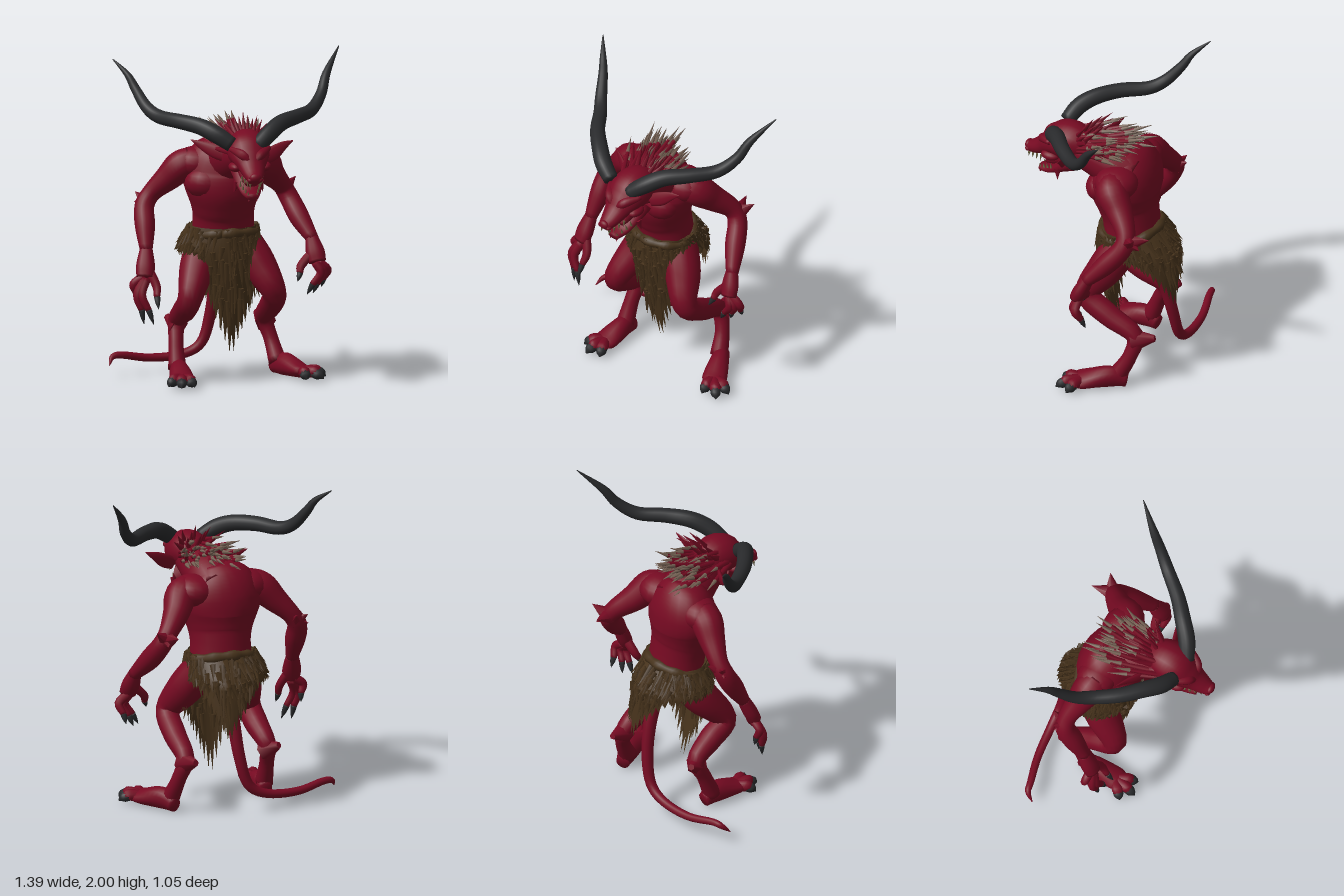
import * as THREE from 'three';
import { mergeGeometries } from 'three/addons/utils/BufferGeometryUtils.js';

const V = (p) => new THREE.Vector3(p[0], p[1], p[2]);
const mat = (name, color) => Object.assign(new THREE.MeshStandardMaterial({ color }), { name });

// Smooth limb through points [x, y, z, radius, secondRadius]
function limb(pts, sides = 14, steps = 5) {
  const path = new THREE.CatmullRomCurve3(pts.map(V), false, 'catmullrom');
  const size = new THREE.CatmullRomCurve3(pts.map((p) => V([p[3], p[4] ?? p[3], 0])), false, 'catmullrom');
  const n = (pts.length - 1) * steps, pos = [], idx = [];
  const N = new THREE.Vector3(1, 0, 0), B = new THREE.Vector3();
  if (Math.abs(path.getTangent(0).x) > 0.8) N.set(0, 0, 1);
  for (let k = -1; k <= n + 1; k++) {
    const t = Math.min(Math.max(k / n, 0), 1);
    const c = path.getPoint(t), T = path.getTangent(t), r = size.getPoint(t);
    N.addScaledVector(T, -N.dot(T)).normalize();
    B.crossVectors(T, N);
    const f = k < 0 || k > n ? 0 : 1; // closed ends
    for (let j = 0; j < sides; j++) {
      const a = (j / sides) * Math.PI * 2;
      const u = Math.cos(a) * Math.max(r.x, 0.001) * f, v = Math.sin(a) * Math.max(r.y, 0.001) * f;
      pos.push(c.x + N.x * u + B.x * v, c.y + N.y * u + B.y * v, c.z + N.z * u + B.z * v);
    }
  }
  for (let k = 0; k < n + 2; k++) for (let j = 0; j < sides; j++) {
    const a = k * sides + j, b = k * sides + ((j + 1) % sides);
    idx.push(a, b, a + sides, b, b + sides, a + sides);
  }
  const g = new THREE.BufferGeometry();
  g.setAttribute('position', new THREE.Float32BufferAttribute(pos, 3));
  g.setIndex(idx);
  g.computeVertexNormals();
  return g;
}

// Straight taper from p to q
function spike(p, q, r, rEnd = 0, sides = 6) {
  const a = V(p), d = V(q).sub(a), len = d.length();
  const g = new THREE.CylinderGeometry(rEnd, r, len, sides);
  g.translate(0, len / 2, 0);
  g.applyQuaternion(new THREE.Quaternion().setFromUnitVectors(new THREE.Vector3(0, 1, 0), d.normalize()));
  return g.translate(a.x, a.y, a.z);
}

function blob(p, s) {
  return new THREE.SphereGeometry(1, 16, 12).scale(s[0], s[1], s[2]).translate(p[0], p[1], p[2]);
}

const mix = (p, q, t) => [0, 1, 2].map((i) => p[i] + (q[i] - p[i]) * t);

export function createModel() {
  const model = new THREE.Group();
  model.name = 'hornedDemon';
  const skin = mat('crimson skin', 0x760a22);
  const horn = mat('charcoal horn', 0x292a2c);
  const hide = mat('brown hide', 0x46321b);
  const bristle = mat('taupe bristle', 0x7a6557);
  const tooth = mat('dull ivory', 0x6b6040);
  hide.side = THREE.DoubleSide;
  let seed = 11;
  const rnd = () => (seed = (seed * 16807) % 2147483647) / 2147483647;
  // Merges the pieces of one part, keeping only positions and normals
  const add = (name, geos, material, parent = model) => {
    const list = [geos].flat();
    list.forEach((g) => g.deleteAttribute('uv'));
    const m = new THREE.Mesh(mergeGeometries(list), material);
    m.name = name;
    parent.add(m);
  };

  // Torso and neck
  add('torso', limb([[0, 0.74, -0.16, 0.13, 0.13], [0, 0.88, -0.14, 0.185, 0.16], [0, 1.02, -0.12, 0.185, 0.165],
    [0, 1.1, -0.1, 0.2, 0.18], [0, 1.2, -0.085, 0.235, 0.2], [0, 1.3, -0.09, 0.25, 0.19], [0.01, 1.4, -0.08, 0.21, 0.16], [0.03, 1.48, -0.06, 0.11, 0.1]], 24), skin);
  add('neck', limb([[0.01, 1.33, -0.14, 0.15], [0.05, 1.39, -0.02, 0.155], [0.1, 1.43, 0.1, 0.13, 0.135], [0.15, 1.45, 0.22, 0.1]], 18), skin);
  add('chestAndShoulders', [blob([-0.1, 1.24, 0.005], [0.13, 0.1, 0.105]), blob([0.11, 1.24, -0.005], [0.13, 0.1, 0.105]),
    blob([-0.16, 1.35, -0.07], [0.14, 0.1, 0.12]), blob([0.17, 1.35, -0.15], [0.14, 0.1, 0.13])], skin);

  // Head, turned slightly to its left
  const head = new THREE.Group();
  head.name = 'head';
  head.position.set(0.15, 1.45, 0.2);
  head.rotation.y = 0.2;
  model.add(head);
  add('skull', limb([[0, 0.03, -0.1, 0.08, 0.08], [0, 0.045, 0, 0.12, 0.115], [0, 0.03, 0.08, 0.128, 0.115], [0, 0, 0.14, 0.112, 0.085],
    [0, -0.045, 0.2, 0.08, 0.06], [0, -0.08, 0.26, 0.06, 0.045], [0, -0.1, 0.315, 0.04, 0.032]], 18), skin, head);
  add('lowerJaw', limb([[0, -0.09, 0.0, 0.1, 0.07], [0, -0.16, 0.09, 0.08, 0.04], [0, -0.205, 0.16, 0.06, 0.027], [0, -0.222, 0.23, 0.036, 0.022]], 14), skin, head);
  add('mouthInside', limb([[0, -0.08, 0.06, 0.07, 0.07], [0, -0.12, 0.13, 0.055, 0.045], [0, -0.15, 0.18, 0.04, 0.02]], 10), skin, head);
  const face = [blob([0, -0.085, 0.315], [0.035, 0.028, 0.022])], teeth = [], chin = [];
  for (const s of [-1, 1]) {
    face.push(limb([[s * 0.02, 0.0, 0.21, 0.02], [s * 0.06, 0.035, 0.185, 0.03], [s * 0.12, 0.06, 0.11, 0.015]], 8),
      blob([s * 0.09, -0.05, 0.12], [0.04, 0.03, 0.06]), blob([s * 0.03, -0.1, 0.305], [0.018, 0.016, 0.02]));
    for (let i = 0; i < 4; i++) {
      const z = 0.2 + i * 0.033, x = s * (0.062 - i * 0.011);
      teeth.push(spike([x, -0.095 - i * 0.01, z], [x, -0.142 - i * 0.006, z + 0.005], 0.008));
      const zl = 0.13 + i * 0.03, xl = s * (0.06 - i * 0.011);
      teeth.push(spike([xl, -0.17 - i * 0.014, zl], [xl, -0.13 - i * 0.018, zl + 0.01], 0.008));
    }
    chin.push(spike([s * 0.07, -0.15, 0.08], [s * 0.09, -0.22, 0.07], 0.025), spike([s * 0.02, -0.22, 0.21], [s * 0.025, -0.25, 0.23], 0.015));
  }
  add('brow', face, skin, head);
  add('teeth', teeth, tooth, head);
  add('chinSpikes', chin, skin, head);

  // Ears
  add('rightEar', limb([[0.05, 1.43, 0.18, 0.015, 0.04], [-0.04, 1.46, 0.15, 0.015, 0.045], [-0.12, 1.49, 0.12, 0.01, 0.028], [-0.19, 1.52, 0.1, 0.002]], 10), skin);
  add('leftEar', limb([[0.25, 1.42, 0.18, 0.015, 0.04], [0.31, 1.45, 0.15, 0.015, 0.045], [0.37, 1.49, 0.12, 0.01, 0.028], [0.43, 1.52, 0.1, 0.002]], 10), skin);

  // Horns
  add('leftHorn', limb([[0.215, 1.52, 0.315, 0.046], [0.29, 1.59, 0.25, 0.052], [0.36, 1.64, 0.16, 0.05], [0.45, 1.655, 0.04, 0.045],
    [0.535, 1.67, -0.11, 0.04], [0.59, 1.75, -0.22, 0.033], [0.62, 1.86, -0.3, 0.025], [0.69, 2.0, -0.44, 0.003]]), horn);
  add('rightHorn', limb([[0.065, 1.535, 0.335, 0.046], [-0.03, 1.595, 0.32, 0.052], [-0.13, 1.635, 0.27, 0.05], [-0.26, 1.65, 0.185, 0.046],
    [-0.38, 1.655, 0.07, 0.042], [-0.46, 1.7, 0, 0.037], [-0.53, 1.8, -0.07, 0.029], [-0.58, 1.88, -0.11, 0.02], [-0.67, 1.96, -0.18, 0.003]]), horn);

  // Bristly mane swept back from the crown
  const roots = [], tips = [];
  for (let i = 0; i < 80; i++) {
    const u = rnd(), s = rnd() * 2 - 1, lift = rnd();
    const p = [0.15 - 0.07 * u + s * 0.1, 1.54 - 0.02 * u - 0.07 * s * s, 0.27 - 0.25 * u];
    const q = [0.03 + s * 0.19, 1.5 + 0.15 * lift - 0.03 * s * s, 0.04 - 0.22 * u - 0.09 * rnd()];
    const m = mix(p, q, 0.64);
    roots.push(spike(p, m, 0.018, 0.012, 5));
    tips.push(spike(m, q, 0.013, 0, 5));
  }
  for (let i = 0; i < 12; i++) {
    const a = (i / 11) * 2 - 1, p = [0.13 + a * 0.08, 1.54, 0.17 - 0.03 * (i % 3)];
    roots.push(spike(p, [p[0] - 0.02 + a * 0.08, 1.7 - 0.05 * Math.abs(a) - 0.02 * (i % 3), p[2] - 0.1], 0.022, 0, 5));
  }
  add('mane', roots, skin);
  add('maneTips', tips, bristle);

  // Arms
  const arms = {
    right: {
      path: [[-0.18, 1.36, -0.06, 0.09], [-0.255, 1.325, -0.06, 0.098], [-0.335, 1.25, -0.07, 0.08], [-0.43, 1.16, -0.08, 0.058],
        [-0.475, 1.08, -0.06, 0.06], [-0.47, 0.97, 0, 0.062], [-0.46, 0.83, 0.08, 0.038]],
      elbow: [-0.46, 1.1, -0.07], points: [[-0.535, 1.16, -0.11], [-0.46, 1.17, -0.17], [-0.54, 1.1, -0.1]],
      palm: [[-0.46, 0.85, 0.07], [-0.465, 0.68, 0.15]],
      fingers: [[-0.52, 0.53, 0.12], [-0.47, 0.4, 0.2], [-0.41, 0.4, 0.21], [-0.38, 0.5, 0.24]], out: [-0.055, 0.02, 0.02],
    },
    left: {
      path: [[0.18, 1.36, -0.14, 0.09], [0.245, 1.33, -0.18, 0.1], [0.285, 1.25, -0.27, 0.082], [0.345, 1.16, -0.37, 0.06],
        [0.39, 1.08, -0.38, 0.06], [0.455, 0.97, -0.31, 0.062], [0.54, 0.85, -0.22, 0.038]],
      elbow: [0.36, 1.12, -0.4], points: [[0.43, 1.19, -0.48], [0.3, 1.16, -0.52], [0.36, 1.1, -0.49]],
      palm: [[0.53, 0.87, -0.23], [0.57, 0.72, -0.17]],
      fingers: [[0.59, 0.55, -0.26], [0.54, 0.52, -0.21], [0.505, 0.52, -0.16], [0.45, 0.61, -0.11]], out: [0.065, 0.02, 0.01],
    },
  };
  for (const [side, a] of Object.entries(arms)) {
    add(side + 'Arm', limb(a.path, 16), skin);
    add(side + 'ElbowSpikes', a.points.map((p) => spike(a.elbow, p, 0.055)), skin);
    const [w, k] = a.palm, digits = [], claws = [];
    digits.push(limb([[...w, 0.037], [...mix(w, k, 0.6), 0.057, 0.045], [...k, 0.052, 0.04]], 12));
    a.fingers.forEach((tip, i) => {
      const root = mix(mix(w, k, i === 3 ? 0.5 : 0.88), tip, 0.1);
      const mid = mix(root, tip, 0.4).map((c, j) => c + a.out[j] * (i === 3 ? -0.5 : 0.8));
      const end = mix(root, tip, 0.7).map((c, j) => c + a.out[j] * (i === 3 ? -0.2 : 0.3));
      digits.push(limb([[...root, 0.029], [...mid, 0.026], [...end, 0.019]], 8));
      claws.push(limb([[...end, 0.02], [...mix(end, tip, 0.5), 0.014], [...tip, 0.001]], 7));
    });
    add(side + 'Hand', digits, skin);
    add(side + 'HandClaws', claws, horn);
  }

  // Legs
  const legs = {
    right: {
      path: [[-0.09, 0.88, -0.15, 0.11], [-0.15, 0.72, -0.05, 0.11], [-0.195, 0.54, 0.09, 0.075], [-0.23, 0.45, -0.02, 0.072],
        [-0.28, 0.36, -0.15, 0.055], [-0.285, 0.23, -0.1, 0.045], [-0.275, 0.08, -0.04, 0.056]],
      hock: [[-0.27, 0.32, -0.14], [-0.345, 0.37, -0.22]],
      foot: [[-0.28, 0.05, -0.1], [-0.24, 0.055, 0.13]], toes: [[-0.32, 0.04, 0.24], [-0.24, 0.04, 0.29], [-0.16, 0.04, 0.25]],
    },
    left: {
      path: [[0.1, 0.88, -0.16, 0.11], [0.21, 0.72, -0.1, 0.11], [0.31, 0.56, -0.04, 0.075], [0.285, 0.45, -0.18, 0.07],
        [0.24, 0.35, -0.35, 0.055], [0.28, 0.22, -0.35, 0.045], [0.325, 0.08, -0.29, 0.056]],
      hock: [[0.25, 0.32, -0.35], [0.19, 0.355, -0.47]],
      foot: [[0.3, 0.05, -0.34], [0.47, 0.055, -0.14]], toes: [[0.62, 0.04, -0.13], [0.61, 0.04, -0.04], [0.51, 0.04, -0.01]],
    },
  };
  for (const [side, l] of Object.entries(legs)) {
    add(side + 'Leg', limb(l.path, 16), skin);
    add(side + 'HockSpike', spike(l.hock[0], l.hock[1], 0.07, 0.02), skin);
    const [h, b] = l.foot, soles = [], claws = [];
    const instep = mix(h, b, 0.4);
    soles.push(limb([[...h, 0.04, 0.045], [instep[0], 0.075, instep[2], 0.058, 0.07], [...b, 0.075, 0.043], [...mix(h, b, 1.2), 0.06, 0.03]], 14));
    for (const tip of l.toes) {
      const root = mix(b, tip, 0.1), end = mix(b, tip, 0.6);
      soles.push(limb([[...root, 0.035], [end[0], 0.06, end[2], 0.036], [...mix(b, tip, 0.68), 0.026]], 9));
      claws.push(limb([[end[0], 0.055, end[2], 0.034], [...mix(b, tip, 0.84), 0.029], [tip[0], 0.025, tip[2], 0.002]], 8));
    }
    add(side + 'Foot', soles, skin);
    add(side + 'FootClaws', claws, horn);
  }

  // Tail
  add('tail', limb([[0, 0.8, -0.26, 0.06], [-0.05, 0.58, -0.34, 0.042], [-0.085, 0.36, -0.38, 0.036], [-0.14, 0.18, -0.385, 0.032], [-0.26, 0.11, -0.36, 0.028],
    [-0.45, 0.1, -0.3, 0.025], [-0.61, 0.13, -0.22, 0.022], [-0.67, 0.125, -0.19, 0.018], [-0.69, 0.08, -0.14, 0.003]], 12), skin);

  // Ragged loincloth: long tongue at the front, shorter one flaring out behind
  const cloth = (th, t, push = 0) => {
    const s = Math.sin(th), c = Math.cos(th), x = 0.2 * s;
    const hem = Math.min(0.79, c > 0 ? 0.24 + Math.abs(x - 0.05) * 2.4 : 0.52 + Math.abs(x) * 1.7);
    const y = 0.96 - t * (0.96 - hem), drop = Math.min((0.96 - y) / 0.14, 1);
    const flare = 1 + (s < 0 ? 0.32 : 0.1) * drop * Math.abs(s) + push;
    const z = -0.125 + c * (0.175 + (c < 0 ? 0.12 : 0.02) * drop + 0.2 * push) - (c > 0 ? 0.2 * Math.max(0, 0.82 - y) : 0.1 * Math.max(0, 0.8 - y));
    return [x * flare - 0.02 * drop * (1 - c) / 2, y, z];
  };
  const cols = 96, rows = 6, pos = [], idx = [];
  for (let i = 0; i <= cols; i++) for (let j = 0; j <= rows; j++) {
    const ragged = j === rows ? (i % 2 ? 0.13 : -0.08) : 0;
    pos.push(...cloth((i / cols) * Math.PI * 2, j / rows + ragged, j % 2 ? 0.015 : 0));
    if (i < cols && j < rows) {
      const a = i * (rows + 1) + j, b = a + rows + 1;
      idx.push(a, a + 1, b, b, a + 1, b + 1);
    }
  }
  const skirt = new THREE.BufferGeometry();
  skirt.setAttribute('position', new THREE.Float32BufferAttribute(pos, 3));
  skirt.setIndex(idx);
  skirt.computeVertexNormals();
  add('loincloth', skirt, hide);
  const tufts = [];
  for (let i = 0; i < 300; i++) {
    const th = rnd() * Math.PI * 2, t = rnd() * 0.75;
    tufts.push(spike(cloth(th, t), cloth(th + (rnd() - 0.5) * 0.25, t + 0.25 + rnd() * 0.15, 0.04 + rnd() * 0.12), 0.02, 0, 4));
  }
  add('loinclothTufts', tufts, hide);
  const belt = [];
  for (let i = 0; i <= 20; i++) {
    const a = (i / 20) * Math.PI * 2;
    belt.push([0.19 * Math.sin(a), 0.935 - 0.02 * Math.cos(a) + 0.015 * Math.sin(a * 2 + 1), -0.125 + 0.17 * Math.cos(a), 0.026 + 0.008 * (i % 2)]);
  }
  add('beltRoll', limb(belt, 8, 3), hide);

  return model;
}
